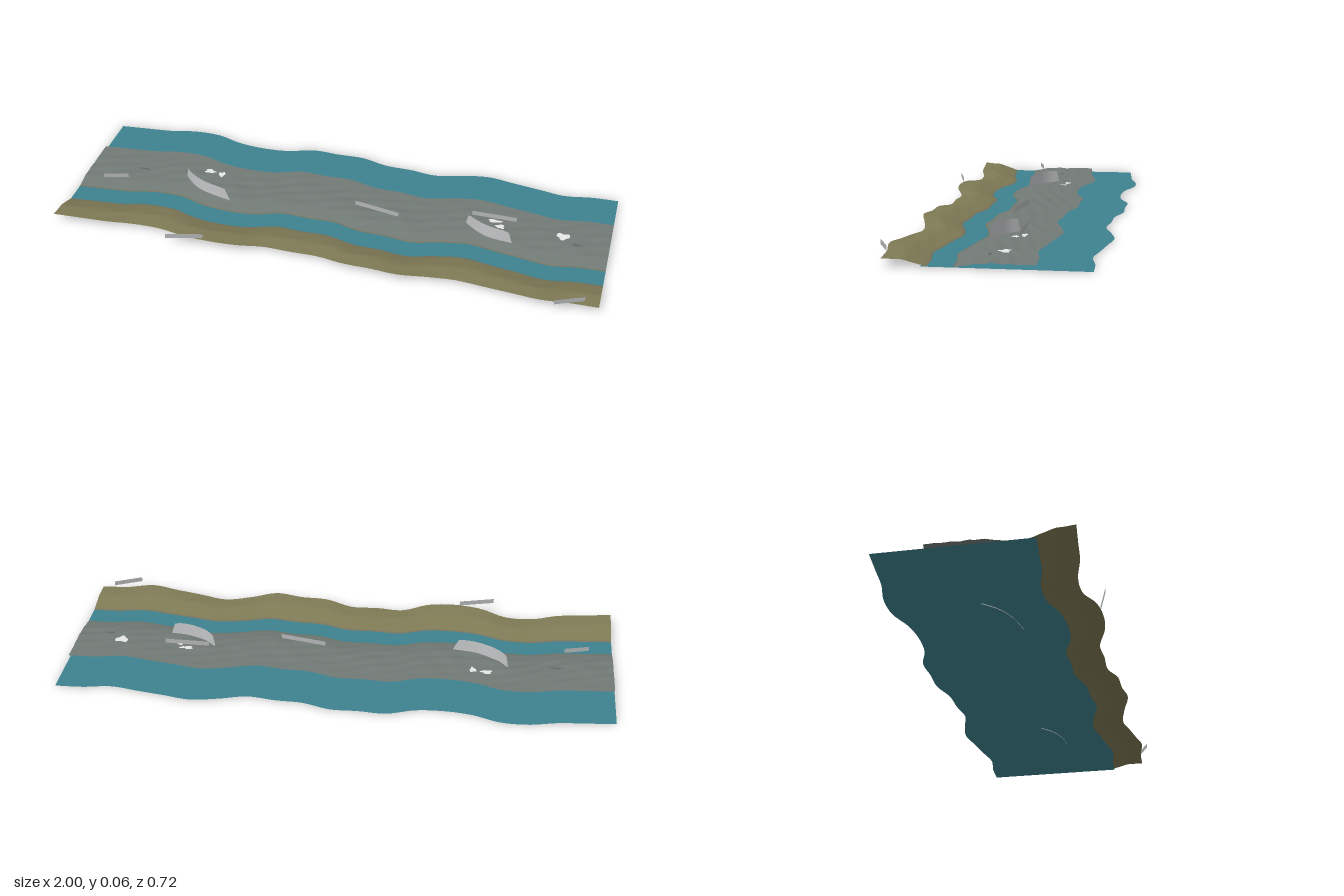
import * as THREE from 'three';

const material = (name, color) =>
  new THREE.MeshStandardMaterial({ name, color, side: THREE.DoubleSide });

const water = material('water', 0x3d828f);
const reefStone = material('reef stone', 0x727a76);
const darkStone = material('dark stone', 0x5f6764);
const sand = material('sand', 0x7f7a55);
const wetSand = material('wet sand', 0x77725c);
const foamGrey = material('foam grey', 0xc2c4c6);
const foamWhite = material('foam white', 0xe8eaea);
const signGrey = material('sign grey', 0xb2b4b6);

// Sideways wander of the whole coast, sampled every 0.1 along x
const wander = [0.022, 0.012, 0.002, -0.02, -0.02, 0.01, 0.02, 0.012, -0.02, -0.018, -0.02,
  0.005, 0.008, 0.018, -0.008, -0.026, -0.012, 0.002, 0.016, 0.0, -0.005];
const coast = new THREE.CatmullRomCurve3(
  wander.map((w, i) => new THREE.Vector3(-1 + i * 0.1, 0, w)));
const shift = (x) => coast.getPoint((x + 1) / 2).z;

// Small ripples, strongest on the seaward slope
const ripple = (x, z) =>
  0.0025 * Math.sin(x * 31 + z * 40) * Math.sin(z * 75 + 2 * Math.sin(x * 9));

function mesh(name, geometry, mat) {
  const m = new THREE.Mesh(geometry, mat);
  m.name = name;
  return m;
}

// Grid surface from a function (u, v) => [x, y, z]
function surface(nu, nv, fn) {
  const pos = [], index = [];
  for (let i = 0; i <= nu; i++)
    for (let j = 0; j <= nv; j++) pos.push(...fn(i / nu, j / nv));
  for (let i = 0; i < nu; i++)
    for (let j = 0; j < nv; j++) {
      const a = i * (nv + 1) + j, b = a + nv + 1;
      index.push(a, a + 1, b, a + 1, b + 1, b);
    }
  const g = new THREE.BufferGeometry();
  g.setAttribute('position', new THREE.Float32BufferAttribute(pos, 3));
  g.setIndex(index);
  g.computeVertexNormals();
  return g;
}

// Height on a [z, y] profile
function profileY(profile, z) {
  for (let i = 1; i < profile.length; i++) {
    const [z0, y0] = profile[i - 1], [z1, y1] = profile[i];
    if (z <= z1) return y0 + (y1 - y0) * Math.max(0, (z - z0) / (z1 - z0));
  }
  return profile[profile.length - 1][1];
}

// Strip following the coast; gain lifts it where the coast moves forward
function strip(profile, rows, gain, bump) {
  const zA = profile[0][0], zB = profile[profile.length - 1][0];
  return surface(160, rows, (u, v) => {
    const x = -1 + 2 * u, z = zA + (zB - zA) * v, w = shift(x);
    return [x, profileY(profile, z) + gain * w * v + bump * ripple(x, z) *
      Math.sin(Math.PI * v), z + w];
  });
}

const reefProfile = [[-0.165, 0.018], [-0.02, 0.018], [0.03, 0.015], [0.085, 0.0045]];
const sandProfile = [[0.176, 0.005], [0.235, 0.022], [0.25, 0.025], [0.312, 0.026]];

// Irregular flat patch resting on the reef
function patch(name, mat, x, z, rx, rz, seed, lift) {
  const g = surface(24, 3, (u, v) => {
    const a = -u * Math.PI * 2;
    const r = v * (1 + 0.2 * Math.sin(3 * a + seed) + 0.13 * Math.sin(5 * a + seed * 2));
    const px = x + rx * r * Math.cos(a), pz = z + rz * r * Math.sin(a);
    return [px, profileY(reefProfile, pz - shift(px)) + lift, pz];
  });
  return mesh(name, g, mat);
}

// Upright curved wall that narrows towards the top
function breaker(points) {
  const path = new THREE.CatmullRomCurve3(points.map(([x, z]) => new THREE.Vector3(x, 0, z)));
  return surface(24, 4, (u, v) => {
    const p = path.getPoint(0.5 + (u - 0.5) * (1 - 0.16 * v));
    const edge = 1 - 0.1 * Math.pow(Math.abs(2 * u - 1), 6) * v;
    return [p.x, 0.065 * v * edge, p.z];
  });
}

export function createModel() {
  const model = new THREE.Group();
  model.name = 'coastline';

  // Sea, reef and beach
  model.add(mesh('sea', strip([[-0.336, 0.003], [0.19, 0.003]], 8, 0, 0), water));
  model.add(mesh('reef', strip(reefProfile, 36, 0, 1), reefStone));
  model.add(mesh('reefFringe', strip([[0.083, 0.0048], [0.09, 0.0035]], 1, 0, 0), wetSand));
  model.add(mesh('beach', strip(sandProfile, 16, 0.4, 0.4), sand));
  model.add(mesh('beachFringe', strip([[0.17, 0.0035], [0.177, 0.0055]], 1, 0, 0), wetSand));

  // Breaking waves
  const breakers = [
    [[-0.62, -0.045], [-0.575, 0.0], [-0.51, 0.035], [-0.405, 0.058]],
    [[0.47, -0.045], [0.52, -0.005], [0.58, 0.02], [0.66, 0.03]],
  ];
  for (const points of breakers) model.add(mesh('breakingWave', breaker(points), foamGrey));

  // Stone patches and foam spots: x, z, radius x, radius z, seed
  for (const p of [[-0.79, -0.055, 0.04, 0.035, 1], [-0.5, -0.065, 0.05, 0.04, 2],
    [0.39, -0.03, 0.03, 0.018, 3], [0.59, -0.05, 0.045, 0.035, 4], [0.87, -0.03, 0.055, 0.045, 5]])
    model.add(patch('stonePatch', reefStone, ...p, 0.003));
  for (const p of [[-0.54, -0.088, 0.02, 0.012, 1], [-0.49, -0.08, 0.012, 0.015, 4],
    [0.575, -0.072, 0.025, 0.009, 2], [0.6, -0.045, 0.016, 0.012, 5],
    [0.83, -0.048, 0.024, 0.018, 3]])
    model.add(patch('foamSpot', foamWhite, ...p, 0.005));
  for (const p of [[0.885, -0.01, 0.02, 0.006, 2], [-0.79, -0.035, 0.025, 0.005, 6]])
    model.add(patch('crack', darkStone, ...p, 0.006));

  // Upright sign plates: start x, z and end x, z
  const signs = [[-0.91, 0.075, -0.82, 0.05], [-0.55, 0.36, -0.42, 0.325],
    [0.06, -0.015, 0.23, 0.015], [0.49, -0.07, 0.655, -0.07], [0.85, 0.345, 0.95, 0.3]];
  for (const [x0, z0, x1, z1] of signs) {
    const plate = mesh('signPlate',
      new THREE.PlaneGeometry(Math.hypot(x1 - x0, z1 - z0), 0.018), signGrey);
    plate.position.set((x0 + x1) / 2, 0.046, (z0 + z1) / 2);
    plate.rotation.y = -Math.atan2(z1 - z0, x1 - x0);
    model.add(plate);
  }
  return model;
}
